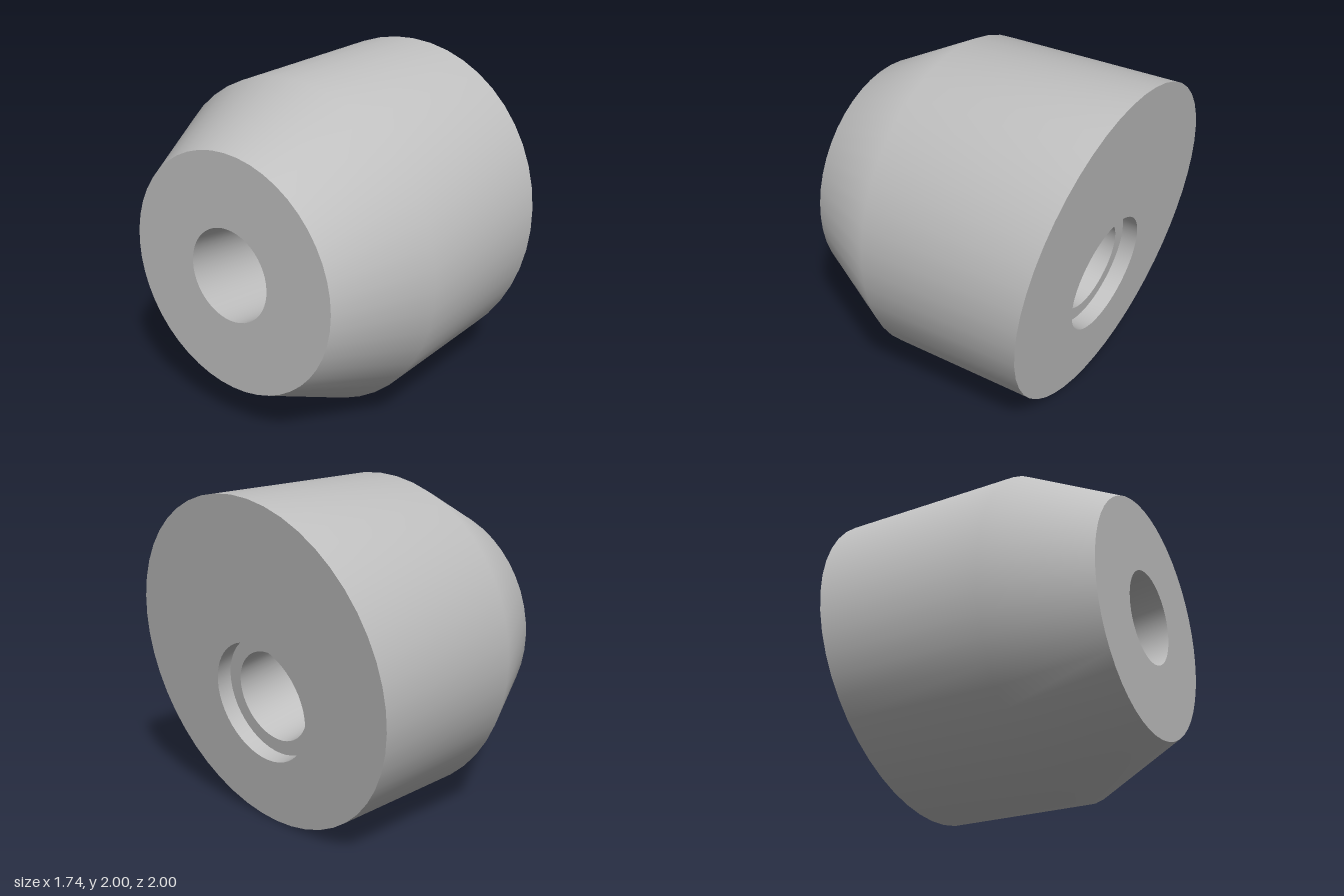
import * as THREE from 'three';

const SEG = 48, TILT = THREE.MathUtils.degToRad(8);
const BACK = -0.87, FRONT = 0.73;
const C = Math.cos(TILT), S = Math.sin(TILT);

// Ring round the body axis; skew leans it into the sloped end plane
const bodyRing = (x, r, skew = 0) => (t) => {
  const h = r * Math.cos(t);
  return [x + skew * h, 1 + h, r * Math.sin(t)];
};

// Ring round the bore axis, which is square to the sloped end; s runs along the axis
const LENGTH = (FRONT - BACK) * C;
const boreRing = (s, r) => (t) => {
  const h = r * Math.cos(t);
  return [BACK + s * C + h * S, 1 - s * S + h * C, r * Math.sin(t)];
};

// Bore ring slid along its axis onto the upright back face
const boreMouth = (r) => (t) => boreRing(-r * Math.cos(t) * S / C, r)(t);

// Skin a run of rings with smooth normals
function loft(name, rings, material) {
  const pos = [], index = [];
  rings.forEach((ring) => {
    for (let i = 0; i < SEG; i++) pos.push(...ring((i / SEG) * Math.PI * 2));
  });
  for (let k = 0; k < rings.length - 1; k++) {
    for (let i = 0; i < SEG; i++) {
      const j = (i + 1) % SEG;
      const a = k * SEG + i, b = k * SEG + j, c = a + SEG, d = b + SEG;
      index.push(a, b, c, b, d, c);
    }
  }
  const geo = new THREE.BufferGeometry();
  geo.setAttribute('position', new THREE.Float32BufferAttribute(pos, 3));
  geo.setIndex(index);
  geo.computeVertexNormals();
  const mesh = new THREE.Mesh(geo, material);
  mesh.name = name;
  return mesh;
}

export function createModel() {
  const group = new THREE.Group();
  group.name = 'taperedBush';
  const grey = new THREE.MeshStandardMaterial({ color: 0xc0c0c0 });
  grey.name = 'plain grey';

  const BORE = 0.28, SEAT = 0.371, DEPTH = 0.1;
  const backHole = boreMouth(BORE);
  const backRim = bodyRing(BACK, 0.725);
  const frontRim = bodyRing(FRONT, 1, S / C);
  const seatRim = boreRing(LENGTH, SEAT);
  const seatFloor = boreRing(LENGTH - DEPTH, SEAT);
  const boreFront = boreRing(LENGTH - DEPTH, BORE);

  group.add(
    loft('backFace', [backHole, backRim], grey),
    loft('outerWall', [backRim, bodyRing(-0.31, 1), frontRim], grey),
    loft('slopedFace', [frontRim, seatRim], grey),
    loft('counterboreWall', [seatRim, seatFloor], grey),
    loft('counterboreFloor', [seatFloor, boreFront], grey),
    loft('boreWall', [boreFront, backHole], grey),
  );
  return group;
}
